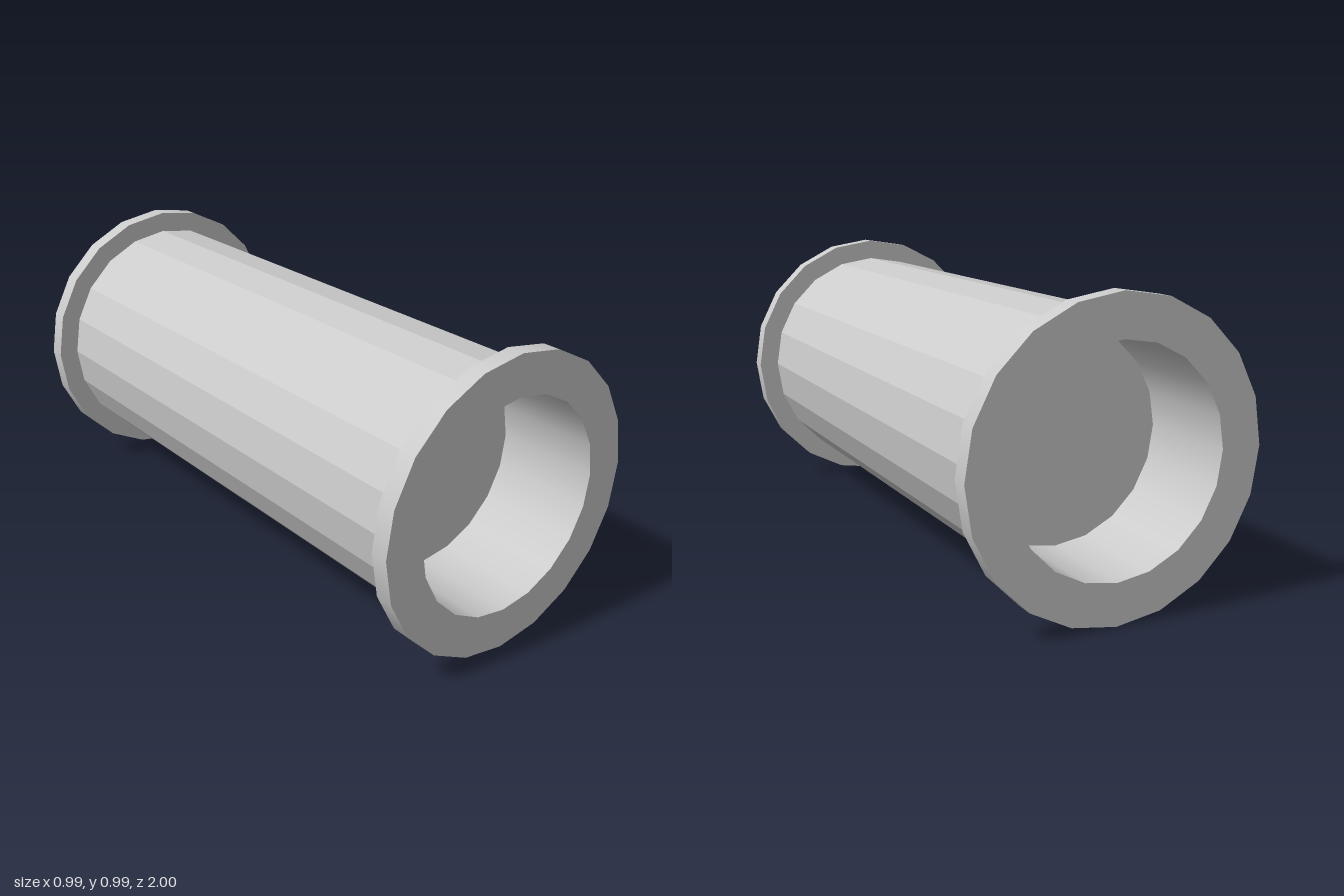
import * as THREE from 'three';

const SIDES = 20;
const R = { body: 0.42, flange: 0.493, bore: 0.357 };
const END = 1, FLANGE_BACK = 0.94, PLUG = 0.64;

const smooth = new THREE.MeshStandardMaterial({ color: 0xcccccc });
const faceted = new THREE.MeshStandardMaterial({ color: 0xcccccc, flatShading: true });

// One band of revolution around z, from (radius, z) to (radius, z)
function band(name, from, to, material = smooth) {
  const points = [new THREE.Vector2(...from), new THREE.Vector2(...to)];
  const geometry = new THREE.LatheGeometry(points, SIDES).rotateX(Math.PI / 2);
  const mesh = new THREE.Mesh(geometry, material);
  mesh.name = name;
  return mesh;
}

// Flange with a blind bore; separate bands keep the edges sharp
function createEnd(name) {
  const end = new THREE.Group();
  end.name = name;
  end.add(
    band('flangeBack', [R.body, FLANGE_BACK], [R.flange, FLANGE_BACK]),
    band('flangeRim', [R.flange, FLANGE_BACK], [R.flange, END]),
    band('flangeFace', [R.flange, END], [R.bore, END]),
    band('boreWall', [R.bore, END], [R.bore, PLUG]),
    band('borePlug', [R.bore, PLUG], [0, PLUG]),
  );
  return end;
}

export function createModel() {
  const model = new THREE.Group();
  model.name = 'flangedPipe';

  // Faceted pipe between the flanges
  model.add(band('pipe', [R.body, -FLANGE_BACK], [R.body, FLANGE_BACK], faceted));

  // Matching ends
  const front = createEnd('frontEnd');
  const back = createEnd('backEnd');
  back.rotation.y = Math.PI;
  model.add(front, back);

  // Rest the flanges on the floor
  for (const part of model.children) part.position.y = R.flange;
  return model;
}
